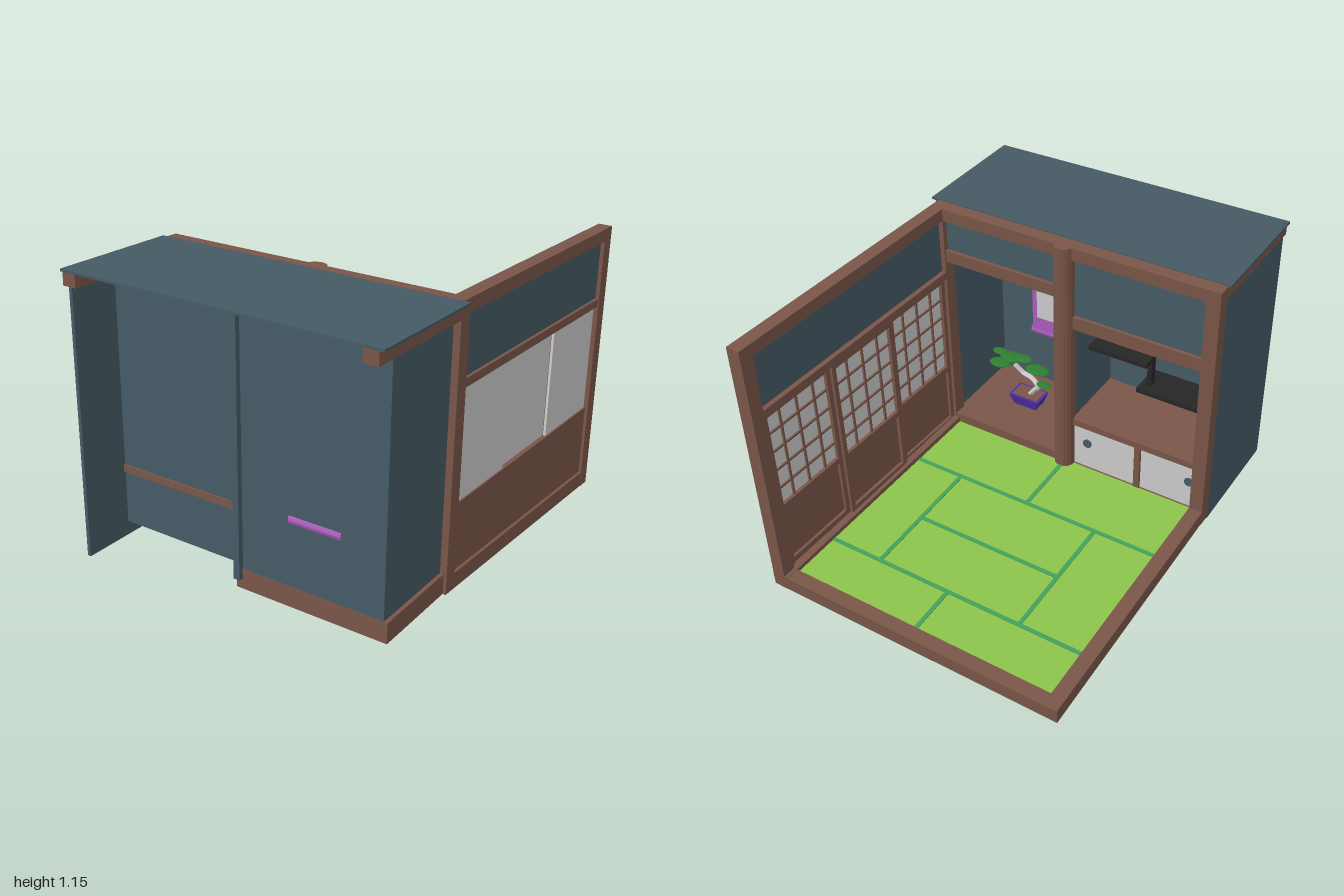
import * as THREE from 'three';

const mat = (color) => new THREE.MeshStandardMaterial({ color, flatShading: true });

export function createModel() {
  const wood = mat(0x795548), blue = mat(0x455a64), green = mat(0x8bc34a), seam = mat(0x43a05a);
  const paper = mat(0xe4e4e4), purple = mat(0xab5cbc), potPurple = mat(0x512da8);
  const black = mat(0x262626), leaf = mat(0x2e7d32), bark = mat(0xcccccc);
  const room = new THREE.Group();
  room.name = 'room';
  let parent = room;

  // following parts go into this section of the room
  const section = (name) => {
    parent = new THREE.Group();
    parent.name = name;
    room.add(parent);
    return parent;
  };
  const add = (name, geo, material, x = 0, y = 0, z = 0) => {
    const m = new THREE.Mesh(geo, material);
    m.name = name;
    m.position.set(x, y, z);
    parent.add(m);
    return m;
  };
  // box given by its extents on each axis
  const box = (name, m, x0, x1, y0, y1, z0, z1) =>
    add(name, new THREE.BoxGeometry(x1 - x0, y1 - y0, z1 - z0), m, (x0 + x1) / 2, (y0 + y1) / 2, (z0 + z1) / 2);

  const L = -0.635, R = 0.6, B = -0.8, F = 0.338, H = 1.087, T = 0.055;
  const P = F - T; // inner face of the alcove front
  const RF = R - 0.028; // right side at the alcove

  // mat floor with seams and a wooden edge, rising slightly to the alcove
  const floor = section('floor');
  box('matFloor', green, L + 0.02, RF - 0.01, 0.003, 0.045, B + 0.02, 0.3);
  box('leftFloorEdge', wood, L, L + T, 0, 0.06, B, F);
  box('backFloorEdge', wood, L, R, 0, 0.06, B, B + T);
  const xSeams = [[-0.54, -0.58, 0.53], [0, -0.58, 0.53], [-0.275, -0.32, 0.3]];
  for (const [z, a, b] of xSeams) box('matSeam', seam, a, b, 0.04, 0.048, z - 0.008, z + 0.008);
  const zSeams = [[-0.012, -0.745, -0.54], [-0.32, -0.54, 0], [0.3, -0.54, 0], [-0.012, 0, 0.29]];
  for (const [x, a, b] of zSeams) box('matSeam', seam, x - 0.008, x + 0.008, 0.04, 0.048, a, b);
  floor.rotation.x = -0.022;
  floor.position.y = 0.0176;

  // right wall: posts, lower boards, sliding paper screens, header, upper panel
  const rightSide = section('rightSide');
  const z0 = B + T, z1 = P;
  box('rightPost', wood, R - T, R, 0.035, H, P, F);
  box('backPost', wood, R - T, R, 0, H, B, B + T);
  box('rightTopBeam', wood, R - T, R, 1.037, H, B, F);
  box('rightSill', wood, R - 0.07, R, 0.015, 0.077, B, F).rotation.x = -0.026;
  box('upperPanel', blue, 0.565, 0.585, 0.8, 1.045, z0, z1);
  box('screenHeader', wood, 0.545, 0.597, 0.778, 0.81, z0, z1);
  box('lowerBoards', wood, 0.57, 0.588, 0.05, 0.35, z0, z1);
  const w = (z1 - z0) / 3;
  for (let i = 0; i < 3; i++) {
    const a = z0 + i * w, b = a + w, x = i === 1 ? 0.56 : 0.572;
    box('screenPaper', paper, x, x + 0.01, 0.345, 0.785, a, b);
    for (const e of [a, b - 0.02]) box('screenStile', wood, x - 0.014, x, 0.06, 0.785, e, e + 0.02);
    for (const y of [0.07, 0.335, 0.76]) box('screenRail', wood, x - 0.014, x, y, y + 0.025, a, b);
    for (let k = 1; k < 4; k++) {
      const z = a + (w * k) / 4;
      box('latticeUpright', wood, x - 0.008, x, 0.35, 0.77, z - 0.004, z + 0.004);
    }
    for (let k = 1; k < 5; k++) {
      const y = 0.35 + k * 0.083;
      box('latticeBar', wood, x - 0.007, x, y - 0.004, y + 0.004, a, b);
    }
  }
  rightSide.rotation.y = -0.025;
  rightSide.position.set(-0.02, 0, -0.015);

  // alcove front: left post, top beam, round centre pillar
  section('alcove');
  box('leftPost', wood, L, L + T, 0.02, H, P, F);
  box('alcoveTopBeam', wood, L, RF, 1.037, H, P, F);
  add('centrePillar', new THREE.CylinderGeometry(0.042, 0.042, H - 0.03, 16), wood, -0.01, (H + 0.03) / 2, P + 0.015);

  // alcove shell: roof, side walls, partition, back walls
  box('roof', blue, L - 0.01, 0.602, 1.082, 1.091, F, 0.843);
  box('leftRoofBeam', wood, L, L + T, 1.035, 1.082, F, 0.843);
  box('rightRoofBeam', wood, R - 0.07, R - 0.015, 1.035, 1.082, F, 0.843);
  box('leftWall', blue, -0.634, -0.62, 0.01, 1.082, F, 0.82);
  box('rightWall', blue, 0.53, 0.545, 0.06, 1.082, F, 0.7);
  box('partition', blue, -0.045, -0.02, 0.07, 1.06, P + 0.02, 0.72);
  box('scrollBackWall', blue, -0.02, 0.545, 0.06, 1.082, 0.685, 0.7);
  box('shelfBackWall', blue, -0.625, -0.04, 0.065, 1.082, 0.605, 0.62);

  // scroll side: raised floor, lintel and panel above
  box('alcoveFloor', wood, -0.045, 0.56, 0.03, 0.108, P, 0.702);
  box('alcoveLintel', wood, 0, 0.54, 0.855, 0.905, P + 0.005, F - 0.005);
  box('alcoveUpperPanel', blue, 0, 0.54, 0.9, 1.045, P + 0.02, P + 0.035);

  // hanging scroll
  box('scrollCloth', purple, 0.18, 0.37, 0.355, 0.8, 0.67, 0.684);
  box('scrollPicture', bark, 0.205, 0.345, 0.435, 0.735, 0.664, 0.672);
  for (const [y, z] of [[0.36, 0.687], [0.8, 0.67]]) {
    add('scrollRod', new THREE.CylinderGeometry(0.02, 0.02, 0.205, 10), purple, 0.275, y, z).rotation.z = Math.PI / 2;
  }

  // miniature tree in a pot
  const pot = add('treePot', new THREE.CylinderGeometry(0.1, 0.075, 0.05, 4, 1), potPurple, 0.29, 0.135, 0.5);
  pot.geometry.rotateY(Math.PI / 4);
  pot.scale.z = 0.65;
  box('potSoil', wood, 0.23, 0.35, 0.156, 0.162, 0.463, 0.537);
  const trunk = new THREE.CatmullRomCurve3([
    [0.29, 0.15, 0.5], [0.26, 0.19, 0.5], [0.235, 0.22, 0.49], [0.27, 0.245, 0.5], [0.32, 0.25, 0.51], [0.36, 0.29, 0.5],
  ].map((p) => new THREE.Vector3(...p)));
  add('treeTrunk', new THREE.TubeGeometry(trunk, 24, 0.011, 6), bark);
  const pads = [[0.43, 0.27, 0.5, 0.05], [0.37, 0.32, 0.5, 0.055], [0.25, 0.29, 0.51, 0.055], [0.3, 0.35, 0.48, 0.04],
    [0.2, 0.25, 0.48, 0.035], [0.42, 0.34, 0.49, 0.035]];
  for (const [x, y, z, r] of pads) {
    add('leafPad', new THREE.IcosahedronGeometry(r, 1), leaf, x, y, z).scale.set(1, 0.16, 0.7);
  }

  // shelf side: lintel, staggered shelves, low cupboard
  box('shelfLintel', wood, -0.59, -0.04, 0.735, 0.79, P + 0.005, F - 0.005);
  box('shelfUpperPanel', blue, -0.59, -0.04, 0.785, 1.045, P + 0.02, P + 0.035);
  box('upperShelf', black, -0.3, -0.045, 0.56, 0.58, 0.42, 0.608);
  box('lowerShelf', black, -0.62, -0.24, 0.4, 0.42, 0.46, 0.608);
  box('shelfStrut', black, -0.285, -0.265, 0.42, 0.56, 0.5, 0.53);
  box('cupboardTop', wood, -0.622, -0.042, 0.272, 0.3, P + 0.01, 0.627);
  box('cupboardSill', wood, -0.6, -0.03, 0.04, 0.068, P, F);
  box('cupboardDivider', wood, -0.35, -0.325, 0.06, 0.28, P + 0.013, P + 0.045);
  for (const [a, b, knob] of [[-0.6, -0.345, -0.56], [-0.33, -0.04, -0.11]]) {
    box('cupboardDoor', paper, a, b, 0.06, 0.28, P + 0.025, P + 0.037);
    add('doorPull', new THREE.CylinderGeometry(0.019, 0.019, 0.008, 12), blue, knob, 0.19, P + 0.023).rotation.x = Math.PI / 2;
  }

  // the whole room stands turned and slightly tilted
  room.rotation.set(-0.028, 0.349, 0);
  room.position.y = 0.027;
  const model = new THREE.Group();
  model.name = 'roomModel';
  model.add(room);
  return model;
}
